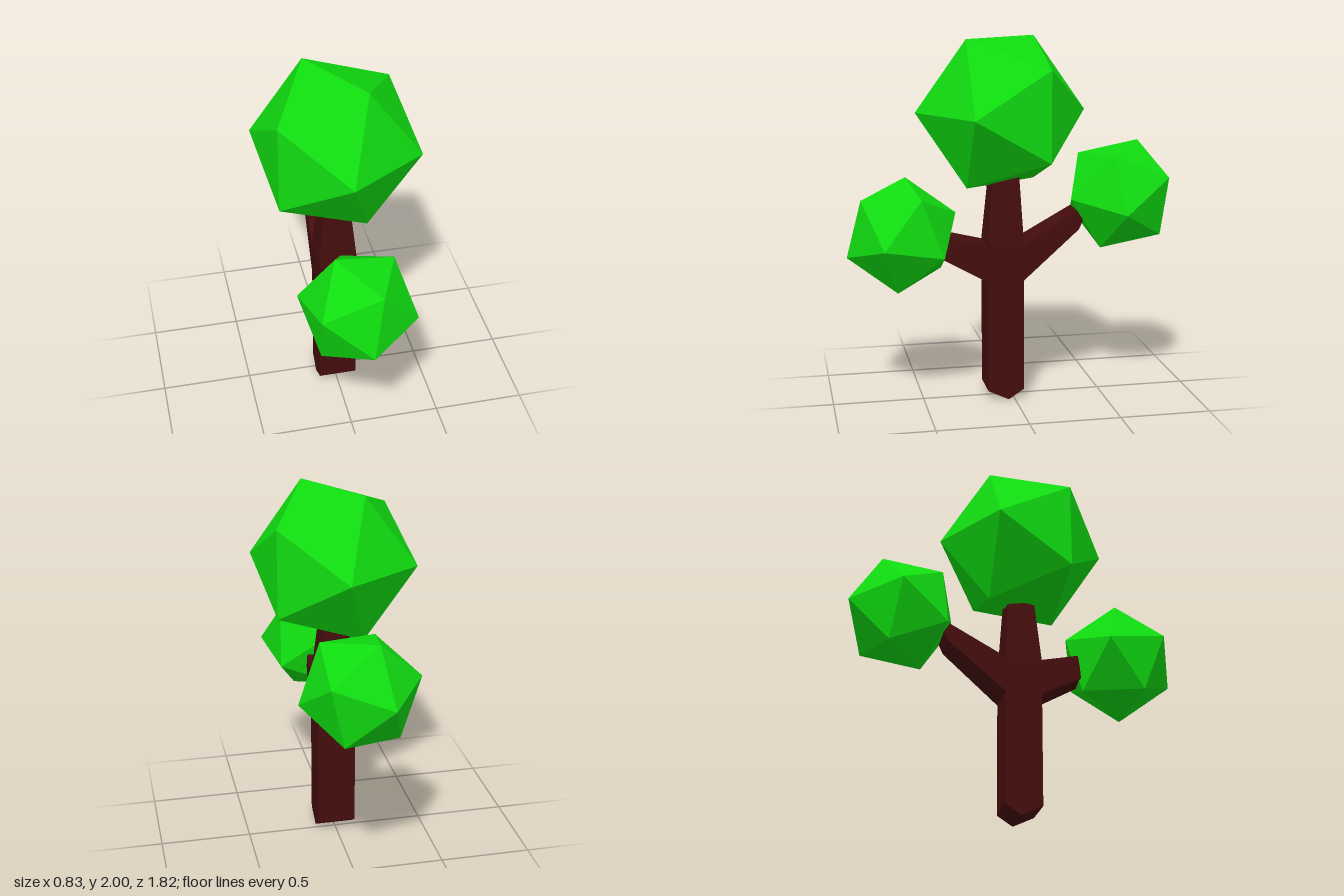
import * as THREE from 'three';
import { ConvexGeometry } from 'three/addons/geometries/ConvexGeometry.js';

const bark = new THREE.MeshStandardMaterial({ color: 0x450d0d, flatShading: true });
const leaf = new THREE.MeshStandardMaterial({ color: 0x10dc10, flatShading: true });

// Convex piece of wood from side-profile points [z, y, halfWidth], mirrored across x
function wood(name, profile) {
  const points = [];
  for (const [z, y, w] of profile) {
    points.push(new THREE.Vector3(-w, y, z), new THREE.Vector3(w, y, z));
  }
  const mesh = new THREE.Mesh(new ConvexGeometry(points), bark);
  mesh.name = name;
  return mesh;
}

// Icosahedron turned so that one edge runs from direction a to direction b
function foliage(name, radius, center, a, b) {
  const mesh = new THREE.Mesh(new THREE.IcosahedronGeometry(radius, 0), leaf);
  const va = new THREE.Vector3(...a).normalize();
  const vb = new THREE.Vector3(...b).normalize();
  const x = vb.clone().sub(va).normalize();
  const y = vb.clone().add(va).normalize();
  const z = new THREE.Vector3().crossVectors(x, y);
  mesh.quaternion.setFromRotationMatrix(new THREE.Matrix4().makeBasis(x, y, z));
  mesh.position.set(...center);
  mesh.name = name;
  return mesh;
}

export function createModel() {
  const tree = new THREE.Group();
  tree.name = 'tree';
  const W = 0.106;

  tree.add(
    // Trunk with a wedge-shaped foot, up to the fork
    wood('trunk', [
      [0.15, 0.055, W], [0.035, 0, W], [-0.05, 0.055, W],
      [-0.05, 0.88, W], [0.15, 0.88, W],
    ]),
    // Limbs tapering away from the fork
    wood('upperTrunk', [
      [0.15, 0.88, W], [-0.05, 0.88, W], [-0.03, 1.25, 0.07], [0.12, 1.225, 0.07],
    ]),
    wood('frontBranch', [
      [0.15, 0.68, W], [0.15, 0.88, W], [0.4, 0.945, 0.08], [0.43, 0.9, 0.08], [0.41, 0.82, 0.08],
    ]),
    wood('backBranch', [
      [-0.05, 0.68, W], [-0.05, 0.88, W], [-0.38, 1.07, 0.085], [-0.39, 1.01, 0.085], [-0.36, 0.95, 0.09],
    ]),
    // Foliage
    foliage('topFoliage', 0.465, [0, 1.605, 0.06], [0, 0, 1], [0.894, 0, 0.447]),
    foliage('frontFoliage', 0.32, [0, 0.942, 0.607], [-0.11, 0.298, -0.037], [0.21, 0.228, -0.087]),
    foliage('backFoliage', 0.322, [0, 1.128, -0.609], [-0.072, 0.288, -0.122], [0.193, 0.246, 0.085]),
  );
  return tree;
}
